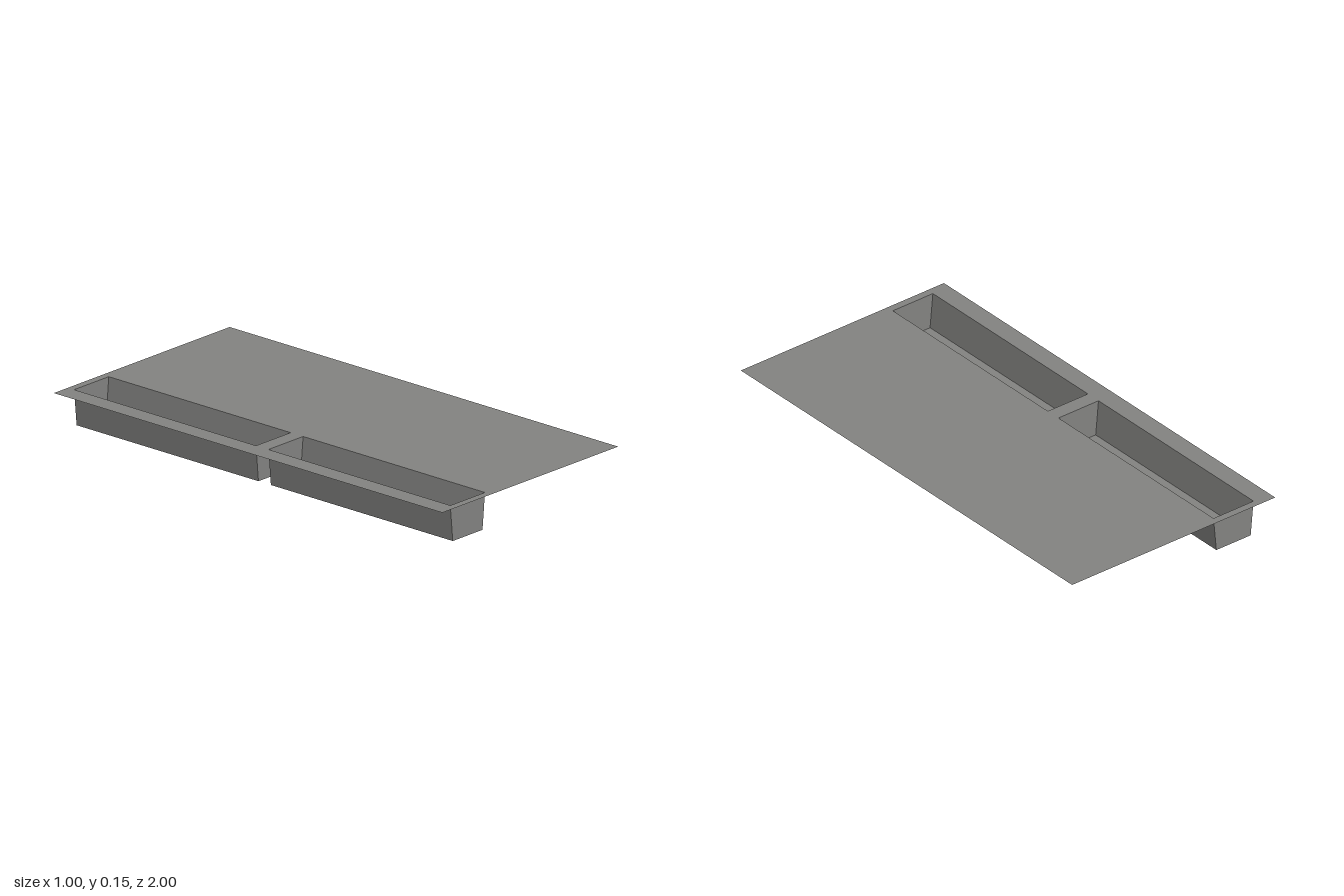
import * as THREE from 'three';

const HEIGHT = 0.148;          // sheet level above the ground
const TROUGH_X = -0.321;       // centre line of both troughs
const TOP_W = 0.197, BOTTOM_W = 0.169, LENGTH = 0.936;
const TROUGH_Z = [-0.5, 0.5];

// Open-topped box whose long sides taper towards the floor
function troughGeometry() {
  const geo = new THREE.BoxGeometry(TOP_W, HEIGHT, LENGTH);
  const pos = geo.attributes.position;
  for (let i = 0; i < pos.count; i++) {
    if (pos.getY(i) < 0) pos.setX(i, pos.getX(i) * BOTTOM_W / TOP_W);
  }
  // Leave out the top face (third of the six)
  const index = Array.from(geo.index.array);
  index.splice(12, 6);
  geo.setIndex(index);
  geo.clearGroups();
  geo.computeVertexNormals();
  return geo;
}

// Counter-clockwise rectangle, as corner points
function rectangle(cx, cy, w, h) {
  return [[-1, -1], [1, -1], [1, 1], [-1, 1]].map(
    ([sx, sy]) => new THREE.Vector2(cx + sx * w / 2, cy + sy * h / 2));
}

export function createModel() {
  const group = new THREE.Group();
  group.name = 'troughPanel';
  const grey = new THREE.MeshStandardMaterial({ color: 0x848482, side: THREE.DoubleSide });
  grey.name = 'grey';

  // Flat sheet with a slot over each trough
  const outline = new THREE.Shape(rectangle(0, 0, 1, 2));
  for (const z of TROUGH_Z) {
    outline.holes.push(new THREE.Path(rectangle(TROUGH_X, -z, TOP_W, LENGTH).reverse()));
  }
  const sheet = new THREE.Mesh(new THREE.ShapeGeometry(outline).rotateX(-Math.PI / 2), grey);
  sheet.name = 'sheet';
  sheet.position.y = HEIGHT;
  group.add(sheet);

  // Two troughs hanging below the slots
  const geo = troughGeometry();
  TROUGH_Z.forEach((z, i) => {
    const trough = new THREE.Mesh(geo, grey);
    trough.name = i === 0 ? 'backTrough' : 'frontTrough';
    trough.position.set(TROUGH_X, HEIGHT / 2, z);
    group.add(trough);
  });
  return group;
}
